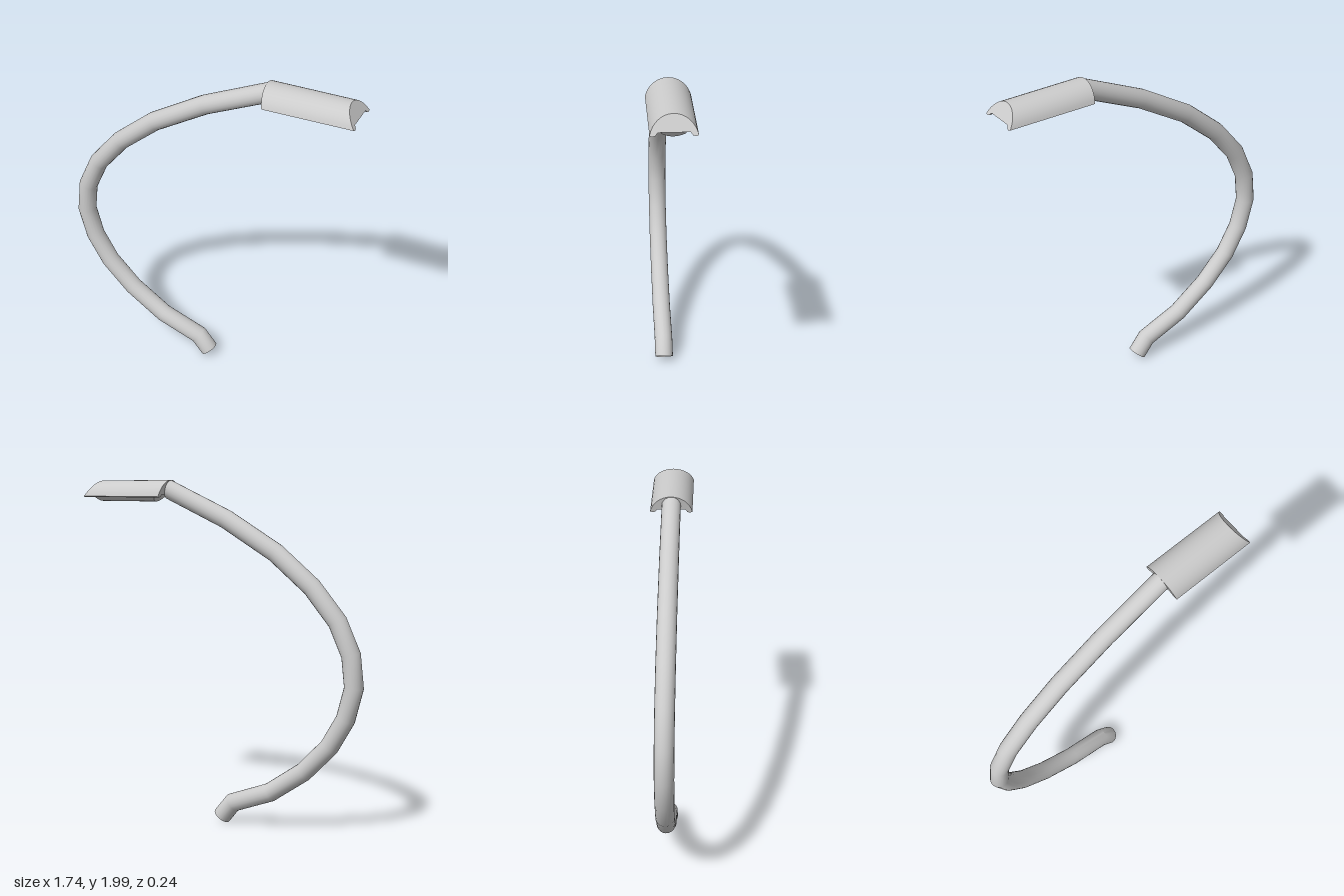
import * as THREE from 'three';
import { toCreasedNormals } from 'three/addons/utils/BufferGeometryUtils.js';

const SIDES = 20, RADIUS = 0.054;

// Centre line of the arm from its open foot to the lamp head, in the xy plane
const PATH = [
  [0, 0.043], [-0.07, 0.13], [-0.31, 0.22], [-0.52, 0.365], [-0.675, 0.525],
  [-0.77, 0.69], [-0.817, 0.87], [-0.797, 1.05], [-0.715, 1.23], [-0.56, 1.415],
  [-0.337, 1.598], [-0.025, 1.78], [0.348, 1.945],
].map(([x, y]) => new THREE.Vector2(x, y));

// Round pipe along the path with mitred joints
function armGeometry() {
  const pos = [], index = [];
  const dirs = PATH.slice(1).map((p, i) => p.clone().sub(PATH[i]).normalize());
  PATH.forEach((p, i) => {
    const a = dirs[Math.max(i - 1, 0)];
    const b = i < dirs.length ? dirs[i] : new THREE.Vector2(1, 0);
    const t = a.clone().add(b).normalize();
    const r = RADIUS / t.dot(a);
    for (let j = 0; j < SIDES; j++) {
      const u = (j / SIDES) * Math.PI * 2;
      const c = Math.cos(u) * r;
      pos.push(p.x - t.y * c, p.y + t.x * c, Math.sin(u) * RADIUS);
    }
  });
  for (let i = 0; i < PATH.length - 1; i++) {
    for (let j = 0; j < SIDES; j++) {
      const a = i * SIDES + j, b = i * SIDES + (j + 1) % SIDES;
      index.push(a, b, b + SIDES, a, b + SIDES, a + SIDES);
    }
  }
  const g = new THREE.BufferGeometry();
  g.setAttribute('position', new THREE.Float32BufferAttribute(pos, 3));
  g.setIndex(index);
  return toCreasedNormals(g, 0.6);
}

// Extrude a (z, y) profile along x; startX(y) and endX(y) slant the two ends
function slantedBar(points, startX, endX, drop = 0) {
  const shape = new THREE.Shape(points.map(([z, y]) => new THREE.Vector2(z, y)));
  const g = new THREE.ExtrudeGeometry(shape, { depth: 1, bevelEnabled: false });
  g.rotateY(Math.PI / 2);
  const p = g.attributes.position;
  for (let i = 0; i < p.count; i++) {
    const t = p.getX(i), y = p.getY(i);
    p.setXYZ(i, THREE.MathUtils.lerp(startX(y), endX(y), t), y - drop * t * (y - 1.9) * 10, p.getZ(i));
  }
  return toCreasedNormals(g, 0.6);
}

export function createModel() {
  const group = new THREE.Group();
  const grey = new THREE.MeshStandardMaterial({ color: 0xcccccc, side: THREE.DoubleSide });
  const add = (name, geometry) => {
    const mesh = new THREE.Mesh(geometry, grey);
    mesh.name = name;
    group.add(mesh);
  };

  add('curvedArm', armGeometry());

  // Domed housing with a lip and a shallow recess underneath
  const dome = [];
  for (let i = 0; i <= 16; i++) {
    const u = -1 + i / 8;
    const a = u * 1.34; // circular arc, 0.12 half width and 0.095 high
    dome.push([-0.12 * Math.sin(a) / Math.sin(1.34), 1.905 + 0.095 * (Math.cos(a) - Math.cos(1.34)) / (1 - Math.cos(1.34))]);
  }
  const underside = [[-0.108, 1.9], [-0.092, 1.903], [-0.08, 1.918], [0.08, 1.918], [0.092, 1.903], [0.108, 1.9]];
  add('lampHousing', slantedBar([...dome, ...underside],
    (y) => 0.335 + (2 - y) * 0.2, (y) => 0.802 + (2 - y) * 0.62, 0.005));

  // Shallow lens bulging below the housing
  const lens = [[0.062, 1.925]];
  for (let i = 0; i <= 8; i++) {
    const z = 0.062 - i * 0.0155;
    lens.push([z, 1.875 + 0.025 * (z / 0.062) ** 2]);
  }
  lens.push([-0.062, 1.925]);
  add('lampLens', slantedBar(lens,
    (y) => 0.415 + (1.9 - y) * 0.8, (y) => 0.825 - (1.9 - y) * 0.8));

  return group;
}
